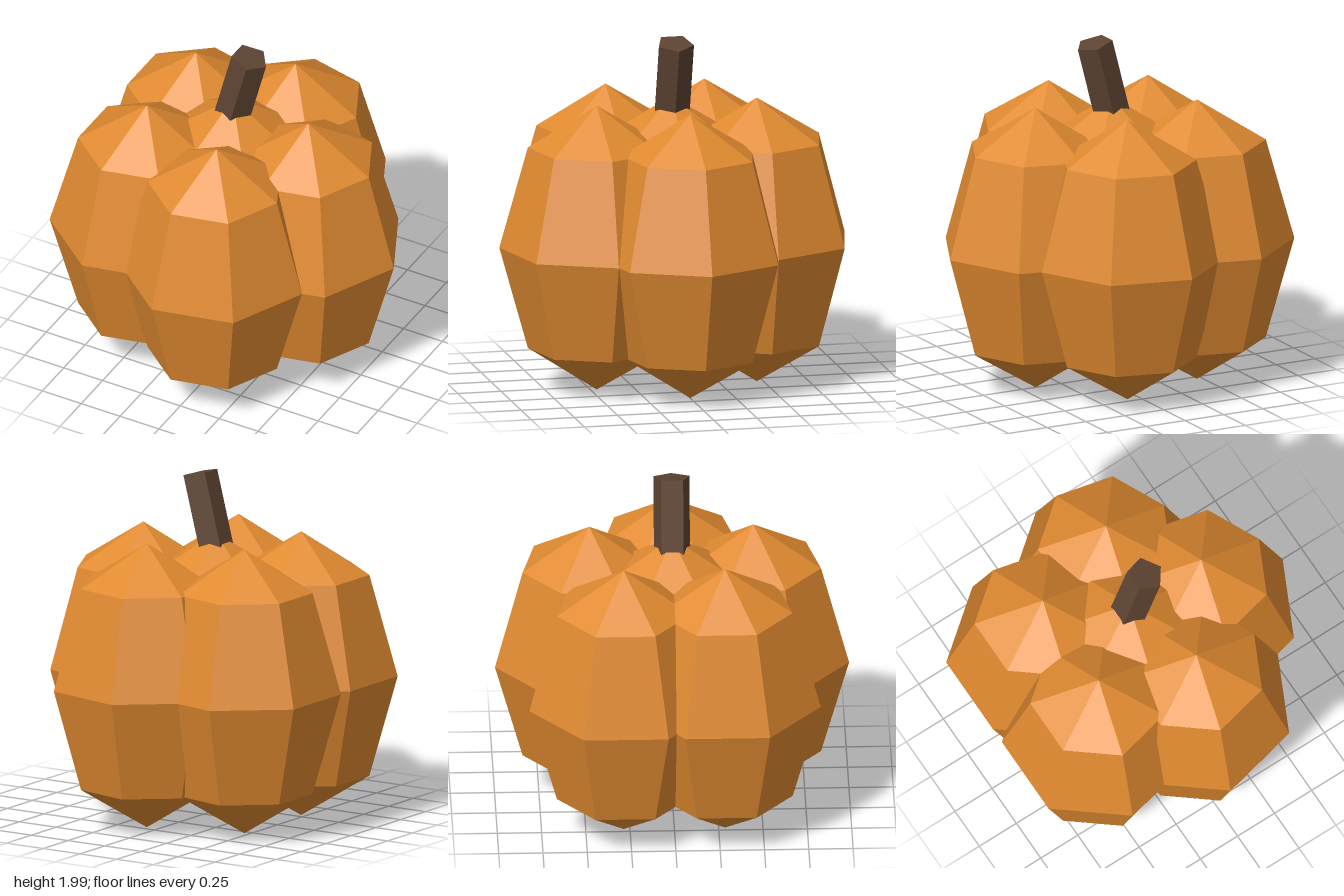
import * as THREE from 'three';

export function createModel() {
  const model = new THREE.Group();
  model.name = 'pumpkin';
  const skin = new THREE.MeshStandardMaterial({ color: 0xe08a30, flatShading: true });
  const bark = new THREE.MeshStandardMaterial({ color: 0x5e4432, flatShading: true });

  const centreX = -0.075; // axis of the lobe cluster
  const ringRadius = 0.487;
  const lobeRadius = 0.55;
  const halfHeight = 0.82;

  // Lobe: seven-sided stretched sphere with one corner towards +x
  const lobeGeometry = new THREE.SphereGeometry(lobeRadius, 7, 4, Math.PI);
  lobeGeometry.scale(1, halfHeight / lobeRadius, 1);

  function addLobe(name, x, z) {
    const lobe = new THREE.Mesh(lobeGeometry, skin);
    lobe.name = name;
    lobe.position.set(x, halfHeight, z);
    model.add(lobe);
  }

  // Middle lobe and a ring of five around it, all facing the same way
  addLobe('centreLobe', centreX, 0);
  for (let i = 0; i < 5; i++) {
    const a = (i / 5) * Math.PI * 2;
    addLobe(`outerLobe${i + 1}`, centreX + ringRadius * Math.cos(a), ringRadius * Math.sin(a));
  }

  // Five-sided stem, leaning towards +x, pivoting at the middle of its top
  const length = 0.6;
  const stemGeometry = new THREE.CylinderGeometry(0.107, 0.107, length, 5, 1, false, Math.PI / 2);
  stemGeometry.translate(0, -length / 2, 0);
  const stem = new THREE.Mesh(stemGeometry, bark);
  stem.name = 'stem';
  stem.position.set(0.036, 1.968, 0);
  stem.rotation.z = -0.255;
  model.add(stem);

  return model;
}
